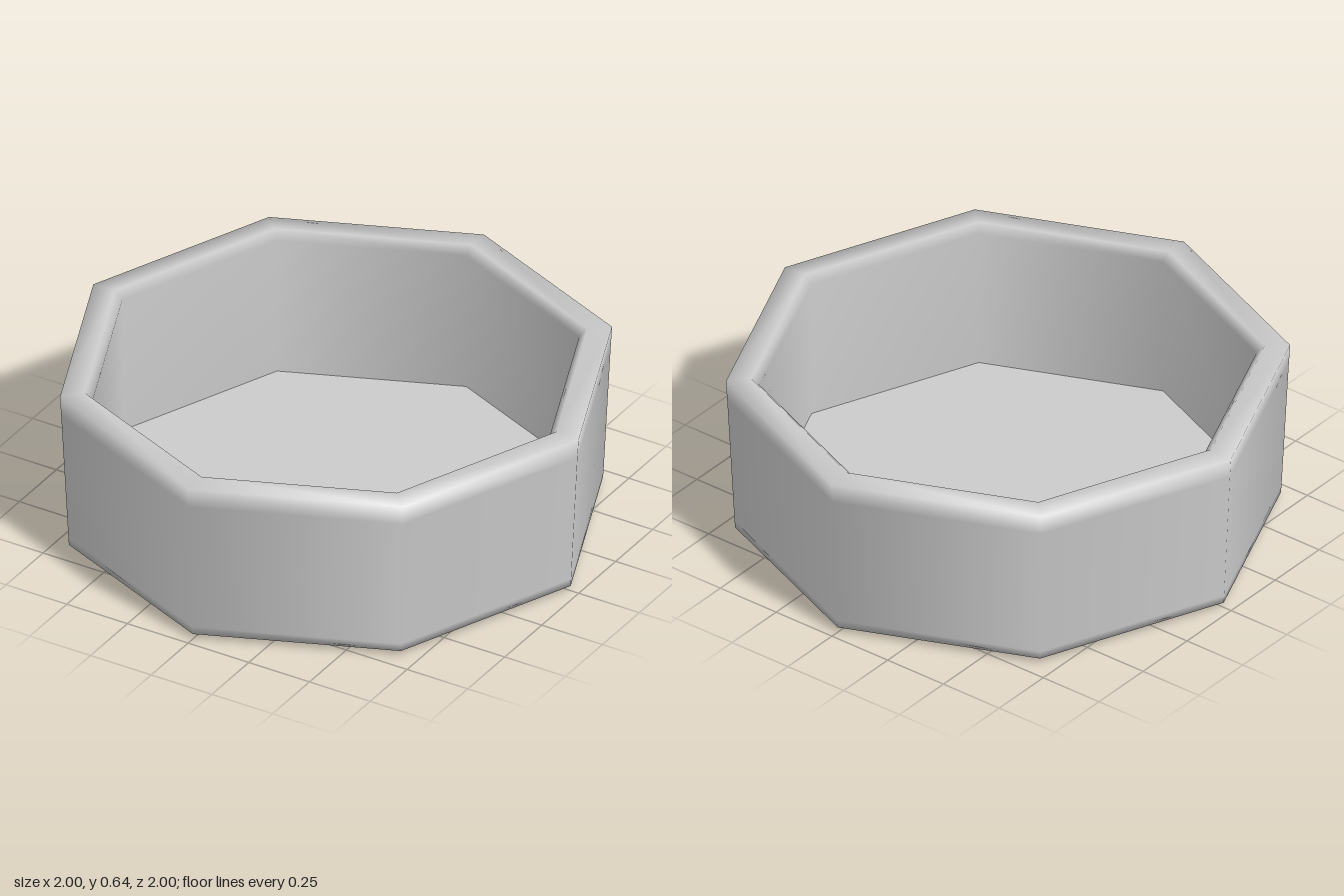
import * as THREE from 'three';

const SIDES = 8;

// Turn a [radius, height] profile into a smooth-shaded octagonal surface
function turned(name, profile, material) {
  const points = profile.map(([r, y]) => new THREE.Vector2(r, y));
  const mesh = new THREE.Mesh(new THREE.LatheGeometry(points, SIDES), material);
  mesh.name = name;
  return mesh;
}

export function createModel() {
  const group = new THREE.Group();
  group.name = 'octagonalDish';
  const material = new THREE.MeshStandardMaterial({ color: 0xcccccc });

  // Underside, tapered outer wall, softened rim and inner wall in one skin
  group.add(turned('bowl', [
    [0, 0], [0.8, 0],              // underside
    [0.967, 0.02], [0.969, 0.05],  // foot edge
    [0.995, 0.56], [1, 0.635],     // outer wall
    [0.91, 0.64], [0.88, 0.61],    // rim
    [0.88, 0.07],                  // inner wall
  ], material));

  // Flat inside floor, meeting the wall at a sharp crease
  group.add(turned('floor', [[0.88, 0.07], [0, 0.07]], material));

  return group;
}
